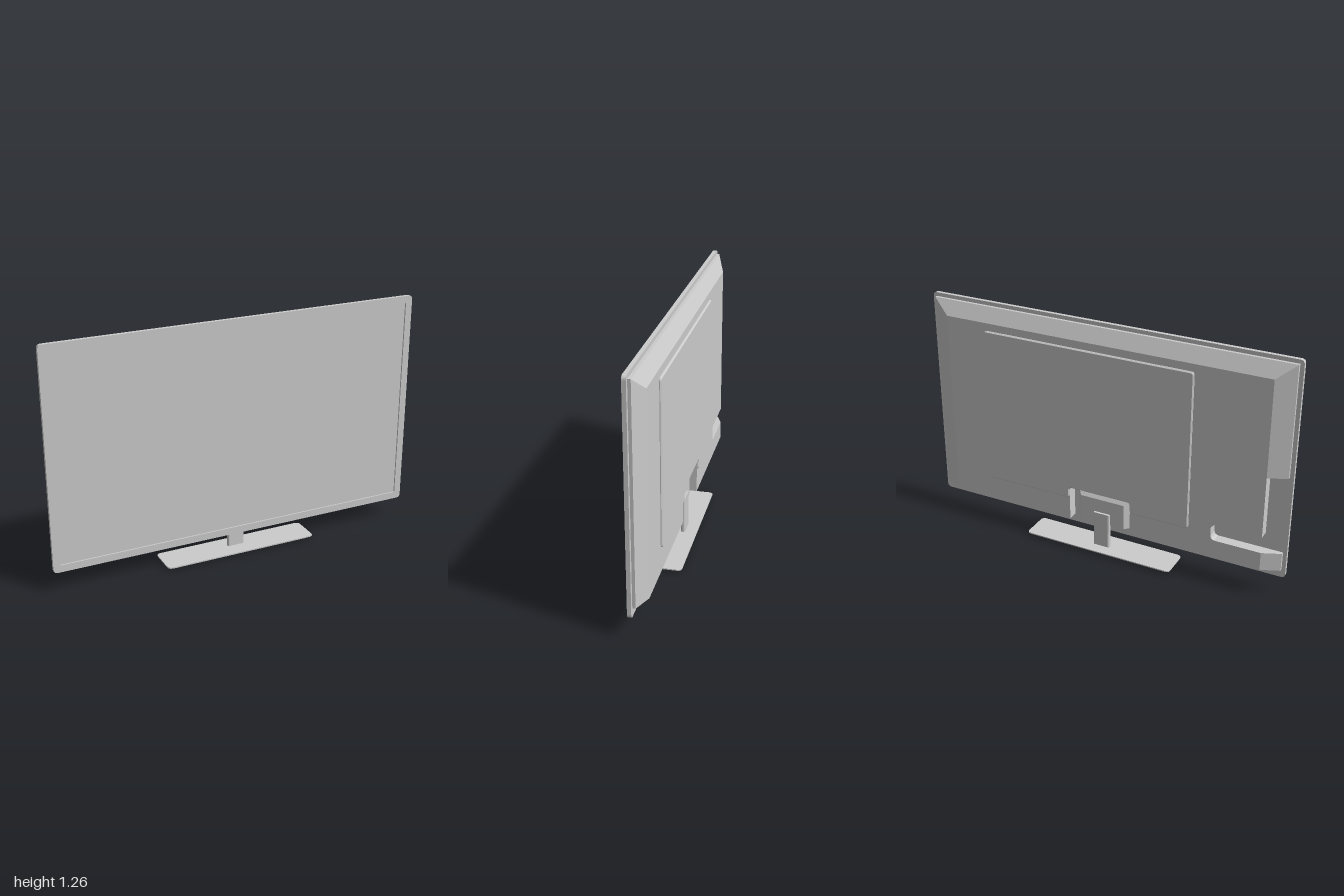
import * as THREE from 'three';

const material = new THREE.MeshStandardMaterial({ color: 0xcccccc });

function add(parent, name, geometry, x = 0, y = 0, z = 0) {
  const mesh = new THREE.Mesh(geometry, material);
  mesh.name = name;
  mesh.position.set(x, y, z);
  parent.add(mesh);
  return mesh;
}

// Closed outline with every corner rounded by r
function rounded(points, r, Type = THREE.Shape) {
  const shape = new Type();
  const v = points.map(([x, y]) => new THREE.Vector2(x, y));
  v.forEach((p, i) => {
    const toward = (q) => p.clone().add(q.clone().sub(p).setLength(r));
    const a = toward(v[(i + v.length - 1) % v.length]);
    const b = toward(v[(i + 1) % v.length]);
    if (i === 0) shape.moveTo(a.x, a.y);
    else shape.lineTo(a.x, a.y);
    shape.quadraticCurveTo(p.x, p.y, b.x, b.y);
  });
  shape.closePath();
  return shape;
}

const rect = (x0, x1, y0, y1) => [[x0, y0], [x1, y0], [x1, y1], [x0, y1]];

const extrude = (shape, depth, bevel = 0) => new THREE.ExtrudeGeometry(shape, {
  depth, curveSegments: 6, bevelEnabled: bevel > 0,
  bevelSize: bevel, bevelThickness: bevel, bevelOffset: -bevel, bevelSegments: 1,
});

// Walls through matching outlines, front to back, closed by a flat back face
function loft(rings) {
  const pos = [];
  const put = (p, z) => pos.push(p[0], p[1], z);
  for (let k = 0; k + 1 < rings.length; k++) {
    const f = rings[k], b = rings[k + 1];
    f.points.forEach((p, i) => {
      const j = (i + 1) % f.points.length;
      put(b.points[i], b.z); put(b.points[j], b.z); put(f.points[j], f.z);
      put(b.points[i], b.z); put(f.points[j], f.z); put(p, f.z);
    });
  }
  const { points, z } = rings[rings.length - 1];
  const contour = points.map(([x, y]) => new THREE.Vector2(x, y));
  for (const [a, b, c] of THREE.ShapeUtils.triangulateShape(contour, [])) {
    put(points[a], z); put(points[c], z); put(points[b], z);
  }
  const g = new THREE.BufferGeometry();
  g.setAttribute('position', new THREE.Float32BufferAttribute(pos, 3));
  g.computeVertexNormals();
  return g;
}

export function createModel() {
  const model = new THREE.Group();
  model.name = 'television';

  // Bezel and recessed screen
  const bezel = rounded(rect(-1, 1, 0.105, 1.265), 0.022);
  bezel.holes.push(rounded(rect(-0.963, 0.963, 0.143, 1.228), 0.006, THREE.Path));
  add(model, 'bezel', extrude(bezel, 0.02), 0, 0, 0.015);
  add(model, 'screen', new THREE.BoxGeometry(1.94, 1.1, 0.012), 0, 0.685, 0.0211);

  // Rear housing: sloped sides and top, port nook at the side, stand notch below
  const outline = [
    [0.98, 0.15], [0.98, 1.245], [-0.98, 1.245], [-0.98, 0.665], [-0.885, 0.665],
    [-0.885, 0.335], [-0.635, 0.335], [-0.62, 0.32], [-0.62, 0.27], [-0.625, 0.255],
    [-0.64, 0.248], [-0.98, 0.248], [-0.98, 0.15],
    [-0.175, 0.15], [-0.175, 0.33], [-0.165, 0.34], [0.165, 0.34], [0.175, 0.33], [0.175, 0.15],
  ];
  const inset = outline.map(([x, y]) => [Math.max(-0.885, Math.min(0.885, x)), Math.min(y, 1.17)]);
  add(model, 'rearHousing', loft([
    { points: outline, z: 0.015 }, { points: outline, z: 0 }, { points: inset, z: -0.04 },
  ]));

  // Raised rear panel, cut out around the stand notch
  const panel = rounded([
    [-0.5, 0.28], [-0.175, 0.28], [-0.175, 0.34], [0.175, 0.34], [0.175, 0.28],
    [0.66, 0.28], [0.66, 1.13], [-0.5, 1.13],
  ], 0.018);
  add(model, 'rearPanel', extrude(panel, 0.006, 0.006), 0, 0, -0.044);

  // Tapered stand bracket inside the notch
  add(model, 'standBracket', loft([
    { points: rect(-0.15, 0.15, 0.15, 0.33), z: 0.015 },
    { points: rect(-0.125, 0.125, 0.15, 0.29), z: -0.01 },
  ]));
  add(model, 'bracketUnderside', new THREE.BoxGeometry(0.25, 0.004, 0.025), 0, 0.152, 0.0025);

  // Downward-facing connectors in the nook
  const ports = new THREE.Group();
  ports.name = 'ports';
  model.add(ports);
  for (let i = 0; i < 7; i++) {
    const x = -0.66 - i * 0.033;
    const g = i < 3
      ? new THREE.BoxGeometry(0.022, 0.01, 0.014)
      : new THREE.CylinderGeometry(0.008, 0.008, 0.01, 12);
    add(ports, 'port', g, x, 0.331, -0.014);
  }

  // Neck, top plate and foot
  const neck = extrude(rounded(rect(-0.047, 0.047, -0.001, 0.023), 0.011), 0.2);
  add(model, 'neck', neck.rotateX(-Math.PI / 2), 0, 0.015, 0);
  const plate = extrude(rounded(rect(-0.42, 0.42, -0.085, 0.085), 0.025), 0.006);
  add(model, 'standPlate', plate.rotateX(-Math.PI / 2), 0, 0.013, 0);
  const foot = extrude(rounded(rect(-0.4, 0.4, -0.065, 0.065), 0.02), 0.013);
  add(model, 'standFoot', foot.rotateX(-Math.PI / 2));

  return model;
}
